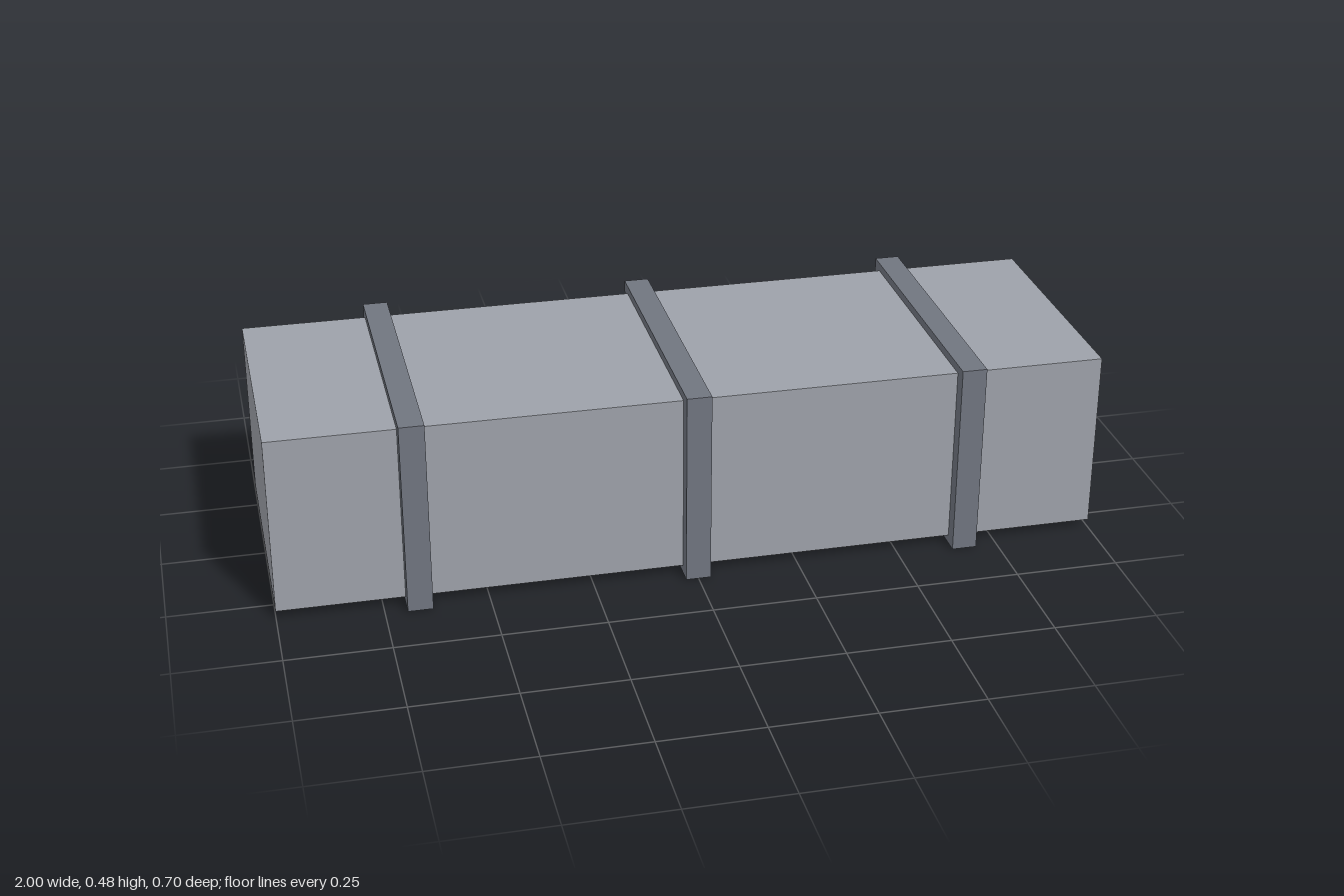
import * as THREE from 'three';

export function createModel() {
  const model = new THREE.Group();
  const ductMaterial = new THREE.MeshStandardMaterial({ color: 0x9da1a9 });
  const bandMaterial = new THREE.MeshStandardMaterial({ color: 0x70757f });
  const centreY = 0.24;

  const addBox = (name, size, x, material) => {
    const mesh = new THREE.Mesh(new THREE.BoxGeometry(...size), material);
    mesh.name = name;
    mesh.position.set(x, centreY, 0);
    model.add(mesh);
  };

  // Long rectangular body
  addBox('body', [2, 0.44, 0.63], 0, ductMaterial);

  // Three raised bands around the body
  ['rightBand', 'middleBand', 'leftBand'].forEach((name, i) => {
    addBox(name, [0.06, 0.48, 0.7], (i - 1) * 0.667, bandMaterial);
  });

  return model;
}
